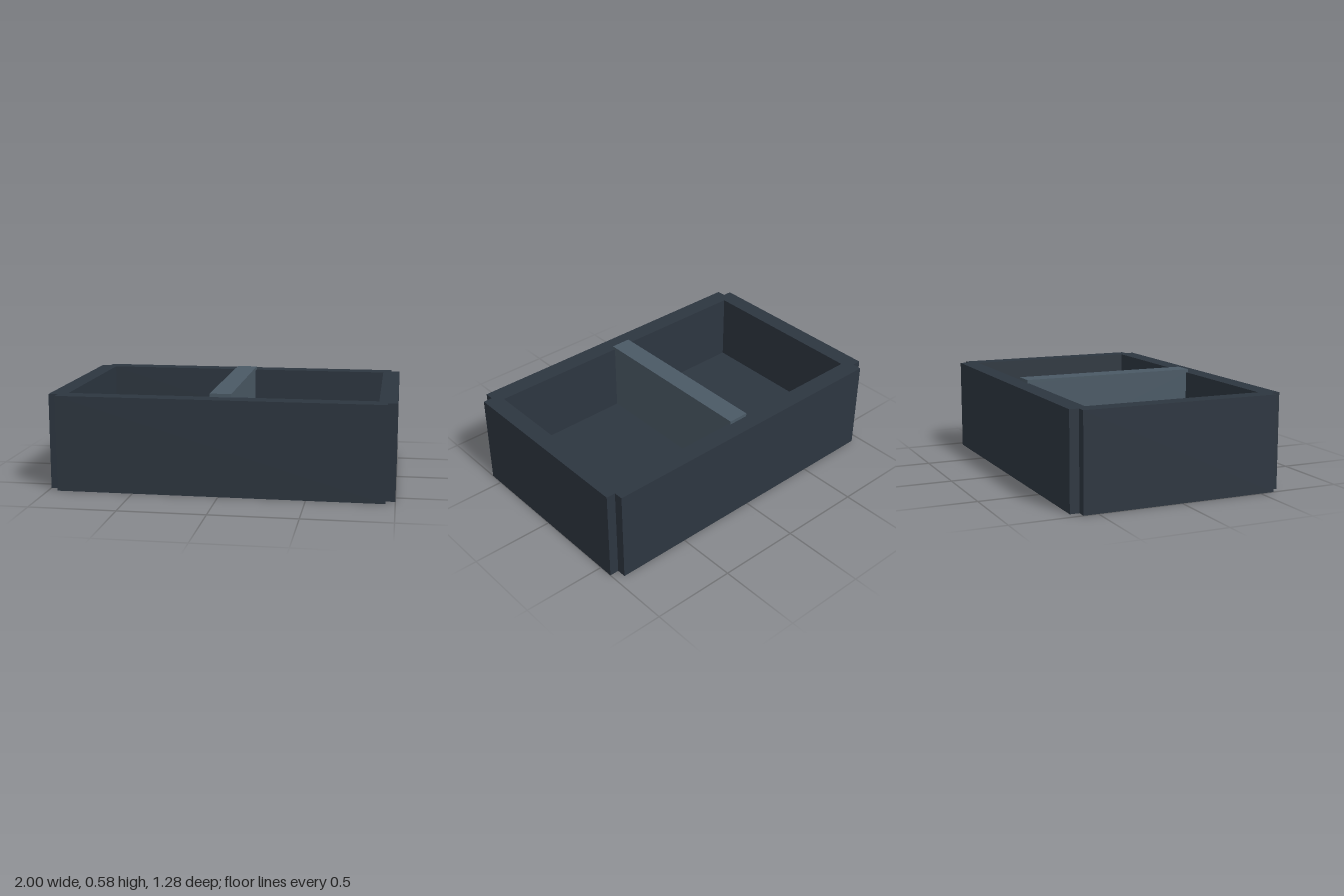
import * as THREE from 'three';

const W = 1, D = 0.64, H = 0.56;      // outer half width, half depth, height
const NOTCH = 0.055;                  // square cut at each corner
const IN_W = 0.895, IN_D = 0.53;      // inner half sizes
const FLOOR = 0.14;

// Plus-like outline: a rectangle with its four corners notched
function outline() {
  const a = W - NOTCH, b = D - NOTCH;
  return new THREE.Shape([
    [-a, -D], [a, -D], [a, -b], [W, -b], [W, b], [a, b],
    [a, D], [-a, D], [-a, b], [-W, b], [-W, -b], [-a, -b],
  ].map(([x, y]) => new THREE.Vector2(x, y)));
}

// Extrudes a plan shape upwards from y0 to y1
function slab(shape, y0, y1) {
  return new THREE.ExtrudeGeometry(shape, { depth: y1 - y0, bevelEnabled: false })
    .rotateX(-Math.PI / 2)
    .translate(0, y0, 0);
}

export function createModel() {
  const group = new THREE.Group();
  const slate = new THREE.MeshStandardMaterial({ color: 0x2d3640 });
  slate.name = 'dark slate';
  const steel = new THREE.MeshStandardMaterial({ color: 0x4a5965 });
  steel.name = 'steel grey';

  const add = (name, geometry, material) => {
    const mesh = new THREE.Mesh(geometry, material);
    mesh.name = name;
    group.add(mesh);
    return mesh;
  };

  // Walls around the open compartment
  const ring = outline();
  ring.holes.push(new THREE.Path([
    [-IN_W, -IN_D], [-IN_W, IN_D], [IN_W, IN_D], [IN_W, -IN_D],
  ].map(([x, y]) => new THREE.Vector2(x, y))));
  add('walls', slab(ring, 0, H), slate);

  // Floor filling the opening
  add('floor', new THREE.BoxGeometry(IN_W * 2, FLOOR, IN_D * 2), slate)
    .position.y = FLOOR / 2;

  // Divider panel and the cap lying over it
  add('divider', new THREE.BoxGeometry(0.11, H - FLOOR, IN_D * 2), steel)
    .position.y = (H + FLOOR) / 2;
  add('dividerCap', new THREE.BoxGeometry(0.125, 0.02, 1.08), steel)
    .position.y = H + 0.01;

  return group;
}
